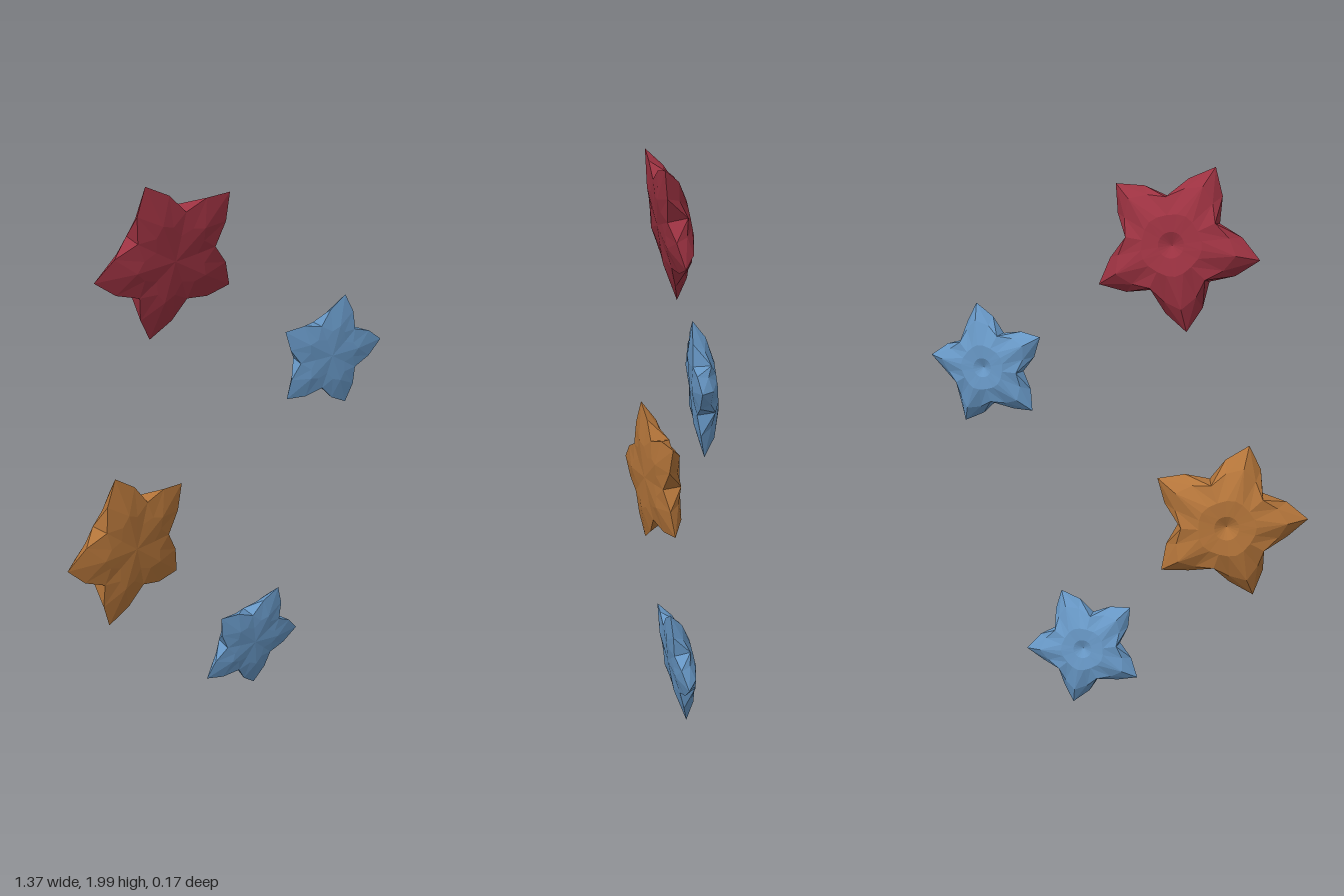
import * as THREE from 'three';

const material = (name, color) => {
  const m = new THREE.MeshStandardMaterial({ color, flatShading: true });
  m.name = name;
  return m;
};

// Rings from the front centre, over the rim, to the dented back centre.
// Each ring: [radius, depth] at the arm axis, arm shoulder and valley.
const RINGS = [
  [[0.5, 0.1], [0.42, 0.09], [0.3, 0.085]],
  [[1, 0], [0.78, 0.03], [0.57, 0.06]],
  [[0.74, -0.17], [0.65, -0.13], [0.55, -0.2]],
  [[0.36, -0.27], [0.35, -0.265], [0.34, -0.265]],
  [[0.15, -0.255], [0.15, -0.255], [0.15, -0.255]],
];
const FRONT = 0.1;
const BACK = -0.18;
const ARMS = 5;
const STEPS = ARMS * 4;

function starGeometry() {
  const points = [0, 0, FRONT];
  for (const ring of RINGS) {
    for (let i = 0; i < STEPS; i++) {
      const k = i % 4;
      const [r, z] = ring[k === 3 ? 1 : k];
      // shoulders sit a little closer to the arm axis
      const offset = [0, 16.5, 36, 55.5][k];
      const a = THREE.MathUtils.degToRad(Math.floor(i / 4) * 72 + offset);
      points.push(r * Math.cos(a), r * Math.sin(a), z);
    }
  }
  points.push(0, 0, BACK);
  const last = points.length / 3 - 1;
  const at = (ring, i) => 1 + ring * STEPS + (i % STEPS);
  const index = [];
  for (let i = 0; i < STEPS; i++) {
    index.push(0, at(0, i), at(0, i + 1));
    for (let r = 0; r < RINGS.length - 1; r++) {
      const a = at(r, i), b = at(r + 1, i), c = at(r + 1, i + 1), d = at(r, i + 1);
      // mirror the diagonal on each half of an arm
      if (i % 4 < 2) index.push(a, b, c, a, c, d);
      else index.push(a, b, d, b, c, d);
    }
    index.push(last, at(RINGS.length - 1, i + 1), at(RINGS.length - 1, i));
  }
  const indexed = new THREE.BufferGeometry();
  indexed.setAttribute('position', new THREE.Float32BufferAttribute(points, 3));
  indexed.setIndex(index);
  const geometry = indexed.toNonIndexed();
  geometry.computeVertexNormals();
  return geometry;
}

export function createModel() {
  const group = new THREE.Group();
  group.name = 'starfishGroup';
  const red = material('deep red', 0x9c3241);
  const blue = material('soft blue', 0x6797c5);
  const orange = material('warm orange', 0xb4753a);
  const geometry = starGeometry();

  // position, size, turn in degrees, and lean (z gained per unit of x and y)
  const stars = [
    { name: 'redStarfish', mat: red, pos: [-0.212, 1.742, 0.005], size: 0.29, turn: 43.5, lean: [0, 0.19] },
    { name: 'upperBlueStarfish', mat: blue, pos: [0.456, 1.288, 0.027], size: 0.225, turn: 5.6, lean: [0.115, 0.083] },
    { name: 'orangeStarfish', mat: orange, pos: [-0.404, 0.767, 0.024], size: 0.29, turn: 33, lean: [-0.195, 0.045] },
    { name: 'lowerBlueStarfish', mat: blue, pos: [0.111, 0.23, 0.035], size: 0.226, turn: -7.8, lean: [-0.03, 0.165] },
  ];
  const forward = new THREE.Vector3(0, 0, 1);
  for (const s of stars) {
    const mesh = new THREE.Mesh(geometry, s.mat);
    mesh.name = s.name;
    mesh.position.set(...s.pos);
    mesh.scale.setScalar(s.size);
    const normal = new THREE.Vector3(-s.lean[0], -s.lean[1], 1).normalize();
    mesh.quaternion.setFromUnitVectors(forward, normal);
    mesh.rotateZ(THREE.MathUtils.degToRad(s.turn));
    group.add(mesh);
  }
  return group;
}
